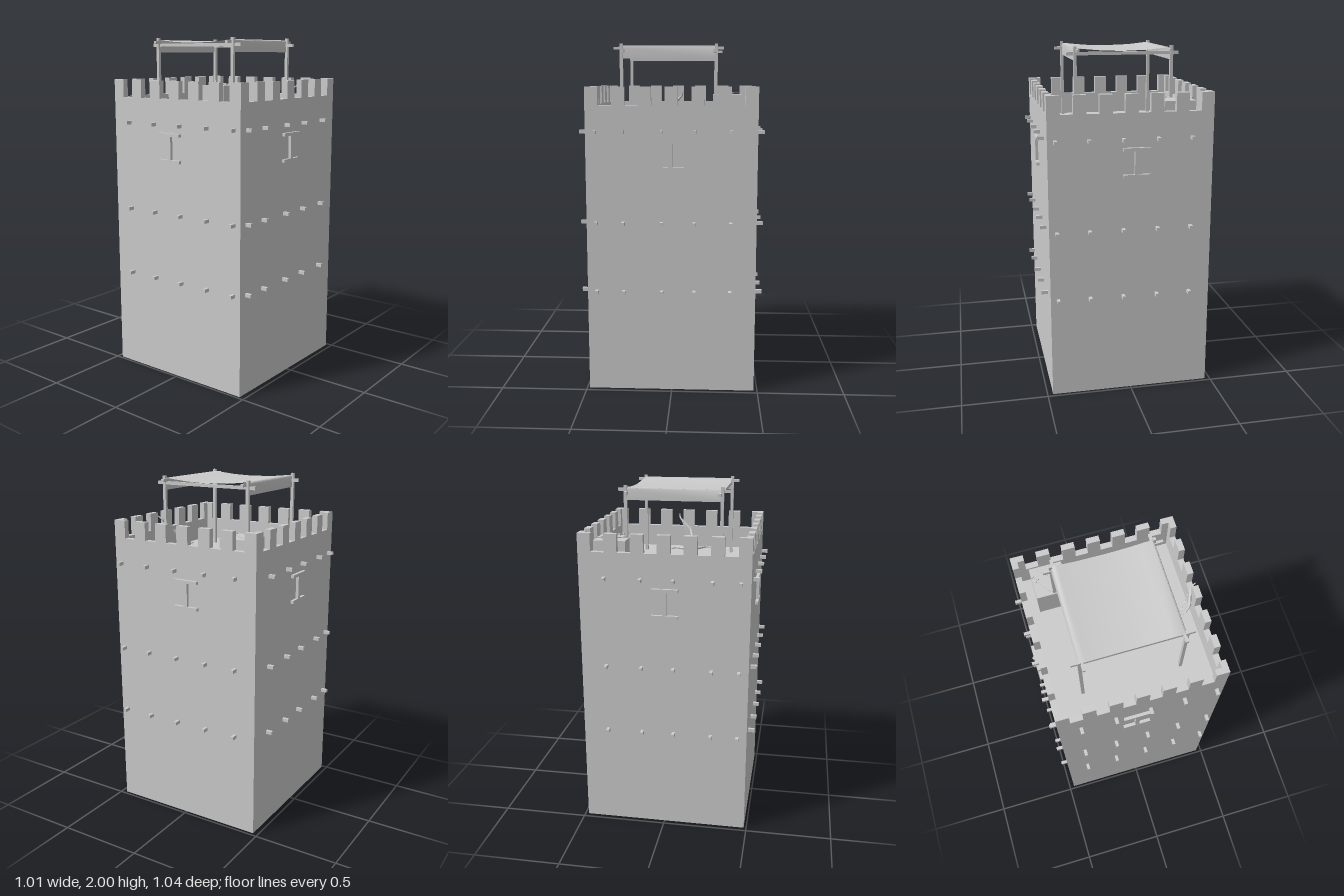
import * as THREE from 'three';

const mat = new THREE.MeshStandardMaterial({ color: 0xcccccc, flatShading: true });
const clothMat = new THREE.MeshStandardMaterial({ color: 0xcccccc, side: THREE.DoubleSide });

// Outer faces of the tower and main levels
const X0 = -0.47, X1 = 0.468, Z0 = -0.48, Z1 = 0.485;
const T = 0.035, WALL = 1.657, TOP = 1.76, FLOOR = 1.527;

function add(parent, name, geo, m = mat) {
  const mesh = new THREE.Mesh(geo, m);
  mesh.name = name;
  parent.add(mesh);
  return mesh;
}

// Box given by its extents on each axis
function box(parent, name, x0, x1, y0, y1, z0, z1) {
  const b = add(parent, name, new THREE.BoxGeometry(x1 - x0, y1 - y0, z1 - z0));
  b.position.set((x0 + x1) / 2, (y0 + y1) / 2, (z0 + z1) / 2);
  return b;
}

function group(parent, name) {
  const g = new THREE.Group();
  g.name = name;
  parent.add(g);
  return g;
}

// Counter-clockwise plan rectangle, drawn with -z as the second axis
const rectPoints = (x0, x1, z0, z1) => [[x0, -z1], [x1, -z1], [x1, -z0], [x0, -z0]].map(p => new THREE.Vector2(...p));

function buildTower(root) {
  // Hollow shaft, open at the bottom
  const ring = new THREE.Shape(rectPoints(X0, X1, Z0, Z1));
  ring.holes.push(new THREE.Path(rectPoints(X0 + T, X1 - T, Z0 + T, Z1 - T)));
  const geo = new THREE.ExtrudeGeometry(ring, { depth: WALL, bevelEnabled: false });
  geo.rotateX(-Math.PI / 2);
  add(root, 'towerWalls', geo);
  box(root, 'roofFloor', X0 + T, X1 - T, FLOOR - 0.03, FLOOR, Z0 + T, Z1 - T);

  // Seven merlons on each side; the corners are L-shaped where sides meet
  const merlons = group(root, 'battlements');
  const w = 0.073, stepX = (X1 - X0 - w) / 6, stepZ = (Z1 - Z0 - w) / 6;
  for (let i = 0; i < 7; i++) {
    const x = X0 + i * stepX, z = Z0 + i * stepZ;
    for (const zs of [Z0, Z1 - T]) box(merlons, 'merlon', x, x + w, WALL, TOP, zs, zs + T);
    const a = i === 0 ? z + T : z, b = i === 6 ? z + w - T : z + w;
    for (const xs of [X0, X1 - T]) box(merlons, 'merlon', xs, xs + T, WALL, TOP, a, b);
  }
}

function buildWallDetails(root) {
  // Protruding beam ends in three rows
  const pegs = group(root, 'beamEnds');
  const h = 0.009, out = 0.037;
  for (const y of [0.592, 0.993, 1.51]) {
    for (const x of [-0.345, -0.15, 0.047, 0.24, 0.425]) {
      box(pegs, 'beamEnd', x - h, x + h, y - 0.01, y + 0.01, Z1 - 0.01, Z1 + out);
      box(pegs, 'beamEnd', x - h, x + h, y - 0.01, y + 0.01, Z0 - out, Z0 + 0.01);
    }
    for (const z of [-0.333, -0.128, 0.057, 0.275, 0.43]) {
      box(pegs, 'beamEnd', X1 - 0.01, X1 + out, y - 0.01, y + 0.01, z - h, z + h);
      box(pegs, 'beamEnd', X0 - out, X0 + 0.01, y - 0.01, y + 0.01, z - h, z + h);
    }
  }
  // Window frames: lintel, sill and a central upright on each side
  const sides = [[-0.028, Z1, 0], [X1, 0.008, 1], [-0.028, Z0, 2], [X0, 0.008, 3]];
  for (const [x, z, turn] of sides) {
    const f = group(root, 'windowFrame');
    f.position.set(x, 0, z);
    f.rotation.y = turn * Math.PI / 2;
    box(f, 'lintel', -0.077, 0.077, 1.447, 1.465, -0.005, 0.018);
    box(f, 'sill', -0.077, 0.077, 1.296, 1.314, -0.005, 0.018);
    box(f, 'upright', -0.012, 0.012, 1.314, 1.447, -0.005, 0.017);
  }
}

function buildCanopy(root) {
  const g = group(root, 'canopy');
  const r = 0.009;
  for (const x of [-0.282, 0.274]) for (const z of [-0.245, 0.298]) box(g, 'post', x - r, x + r, FLOOR, 2, z - r, z + r);
  for (const z of [-0.238, 0.287]) box(g, 'crossPole', -0.325, 0.322, 1.95, 1.968, z - 0.008, z + 0.008);
  for (const x of [-0.268, 0.262]) box(g, 'sidePole', x - 0.008, x + 0.008, 1.967, 1.983, -0.288, 0.342);

  // Sagging cloth laid over the poles, its side edges hanging down
  const profile = [
    [-0.282, 1.918], [-0.282, 1.978], [-0.268, 1.989], [-0.245, 1.986], [-0.15, 1.976], [0, 1.971],
    [0.12, 1.975], [0.2, 1.982], [0.262, 1.989], [0.274, 1.978], [0.274, 1.918],
  ];
  const n = profile.length;
  const cloth = new THREE.PlaneGeometry(1, 1, n - 1, 1);
  const pos = cloth.attributes.position;
  for (let i = 0; i < pos.count; i++) pos.setXYZ(i, ...profile[i % n], i < n ? -0.247 : 0.296);
  cloth.computeVertexNormals();
  add(g, 'cloth', cloth, clothMat);
}

// Sword lying flat, blade along +x from the guard at the origin
function buildSword(root, tip, hilt) {
  const g = group(root, 'sword');
  const dx = tip[0] - hilt[0], dz = tip[1] - hilt[1];
  const L = Math.hypot(dx, dz), grip = 0.038, b = L - grip;
  g.position.set(hilt[0] + dx * grip / L, 1.714, hilt[1] + dz * grip / L);
  g.rotation.y = Math.atan2(-dz, dx);
  const half = [[0, 0.006], [b * 0.3, 0.007], [b * 0.65, 0.011], [b * 0.85, 0.007]];
  const outline = [...half.map(([x, y]) => [x, -y]), [b, 0], ...half.reverse()];
  const blade = new THREE.ExtrudeGeometry(
    new THREE.Shape(outline.map(p => new THREE.Vector2(...p))), { depth: 0.004, bevelEnabled: false });
  blade.rotateX(-Math.PI / 2);
  add(g, 'blade', blade).position.y = -0.002;
  box(g, 'guard', -0.005, 0.002, -0.004, 0.004, -0.014, 0.014);
  const handle = add(g, 'grip', new THREE.CylinderGeometry(0.004, 0.004, grip - 0.008, 6));
  handle.rotation.z = Math.PI / 2;
  handle.position.x = -grip / 2;
  box(g, 'pommel', -grip, -grip + 0.008, -0.005, 0.005, -0.008, 0.008);
}

// Angular bow with a straight string between two of its limb points
function buildBow(root, points, from, to) {
  const g = group(root, 'bow');
  const pts = points.map(p => new THREE.Vector3(...p));
  const path = new THREE.CatmullRomCurve3(pts, false, 'catmullrom', 0.15);
  const limb = new THREE.TubeGeometry(path, 24, 0.01, 5);
  // Narrow the limb towards both ends
  const pos = limb.attributes.position, v = new THREE.Vector3();
  for (let i = 0; i < pos.count; i++) {
    const t = Math.floor(i / 6) / 24, c = path.getPointAt(t);
    v.fromBufferAttribute(pos, i).sub(c).multiplyScalar(0.3 + 0.7 * Math.sin(Math.PI * t)).add(c);
    pos.setXYZ(i, v.x, v.y, v.z);
  }
  add(g, 'limbs', limb);
  add(g, 'string', new THREE.TubeGeometry(new THREE.LineCurve3(pts[from], pts[to]), 1, 0.0018, 4));
}

export function createModel() {
  const root = new THREE.Group();
  root.name = 'watchtower';
  buildTower(root);
  buildWallDetails(root);
  buildCanopy(root);

  // Crate with two swords on its lid
  box(root, 'crate', -0.385, -0.202, FLOOR, 1.705, -0.413, -0.23);
  buildSword(root, [-0.348, -0.405], [-0.21, -0.275]);
  buildSword(root, [-0.287, -0.238], [-0.38, -0.36]);

  // One bow lies on the floor, the other leans on the parapet
  const y = FLOOR + 0.01;
  buildBow(root, [[0.272, y, -0.085], [0.306, y, -0.065], [0.298, y, -0.03], [0.282, y, 0.01], [0.297, y, 0.06],
    [0.335, y, 0.098], [0.37, y, 0.128], [0.358, y, 0.168]], 1, 6);
  buildBow(root, [[0.325, 1.535, 0.06], [0.342, 1.56, 0.025], [0.378, 1.6, 0.036], [0.41, 1.64, 0.02],
    [0.425, 1.675, -0.02], [0.44, 1.71, -0.056], [0.466, 1.73, -0.062]], 0, 5);
  return root;
}
